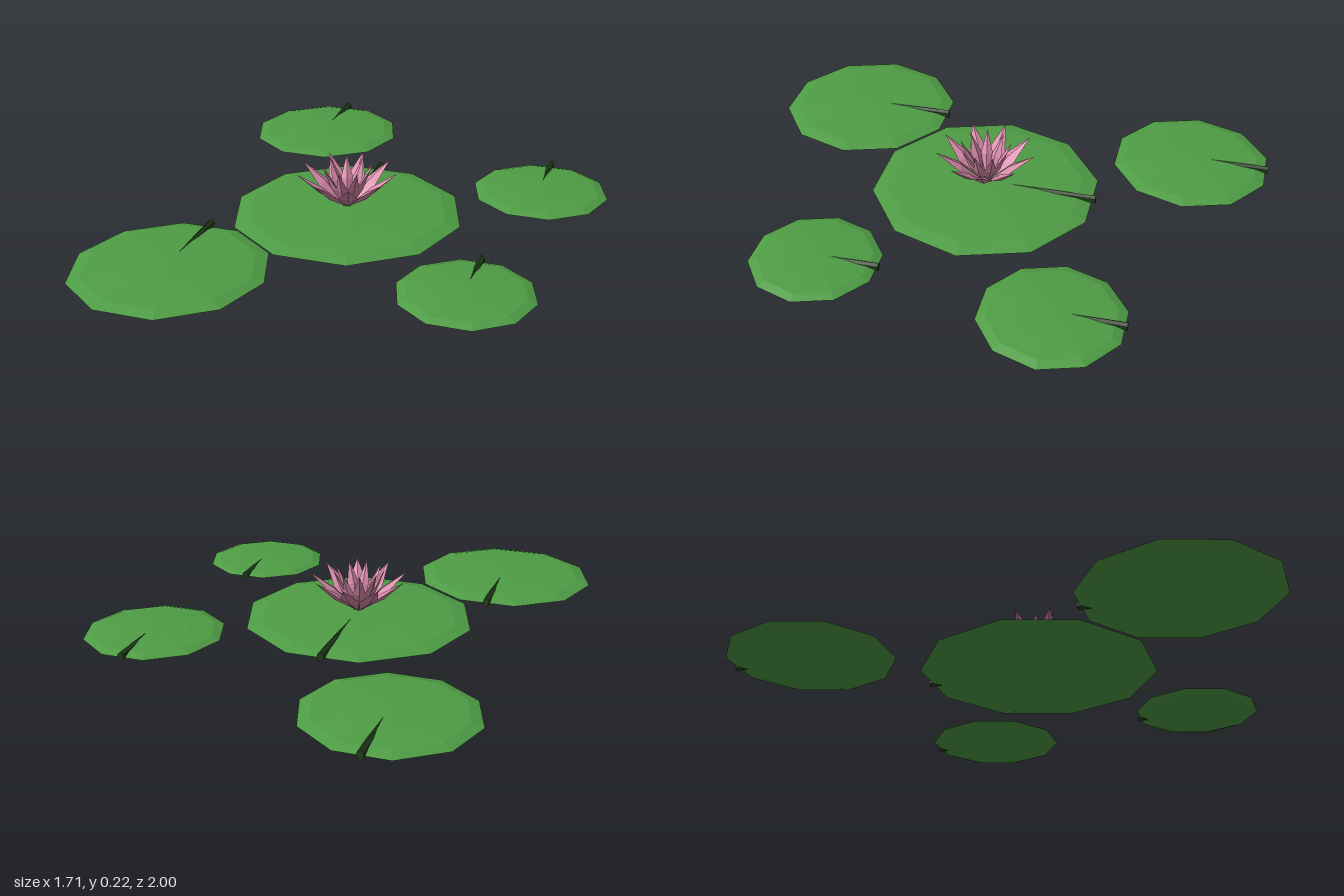
import * as THREE from 'three';

const flat = (name, color) => {
  const m = new THREE.MeshStandardMaterial({ color, flatShading: true });
  m.name = name;
  return m;
};

// Kite-shaped petal growing along +y, widest at its middle, with a ridge on both faces
function petalGeometry(length, halfWidth, halfDepth) {
  const g = new THREE.OctahedronGeometry(1, 0);
  g.scale(halfWidth, length / 2, halfDepth);
  g.translate(0, length / 2, 0);
  return g;
}

export function createModel() {
  const model = new THREE.Group();
  model.name = 'waterLilies';
  const leaf = flat('leafGreen', 0x4f9d45);
  const dark = flat('darkGreen', 0x223f1c);
  const pink = flat('petalPink', 0xd98aaa);

  const add = (parent, name, geometry, material) => {
    const mesh = new THREE.Mesh(geometry, material);
    mesh.name = name;
    parent.add(mesh);
    return mesh;
  };

  // Floating pads: x, z, radius, half thickness
  const pads = [
    [-0.07, 0.05, 0.436, 0.026],
    [-0.42, -0.70, 0.306, 0.023],
    [0.59, -0.348, 0.261, 0.023],
    [-0.506, 0.665, 0.35, 0.024],
    [0.503, 0.53, 0.24, 0.022],
  ];
  pads.forEach(([x, z, r, h]) => {
    const pad = new THREE.Group();
    pad.name = 'lilyPad';
    pad.position.set(x, 0, z);
    model.add(pad);

    const disc = add(pad, 'padLeaf', new THREE.SphereGeometry(1, 10, 6), leaf);
    disc.scale.set(r, h, r);
    disc.position.y = 0.052 - h;

    // Dark rib from near the middle to the back rim
    const start = -0.12 * r, end = -0.985 * r;
    const rib = new THREE.CylinderGeometry(0.013, 0.01, start - end, 6);
    rib.rotateX(-Math.PI / 2);
    rib.scale(1, 1.4, 1);
    add(pad, 'padRib', rib, dark).position.set(0, 0.036, (start + end) / 2);
  });

  // Flower: an open outer ring and a steeper inner ring of petals
  const flower = new THREE.Group();
  flower.name = 'flower';
  flower.position.set(-0.07, 0.052, 0.05);
  model.add(flower);

  const ring = (name, count, length, halfWidth, halfDepth, tilt, base, turn) => {
    const geometry = petalGeometry(length, halfWidth, halfDepth);
    geometry.rotateX(tilt);
    geometry.translate(0, 0, base);
    for (let i = 0; i < count; i++) {
      add(flower, name, geometry, pink).rotation.y = Math.PI + turn + (i / count) * Math.PI * 2;
    }
  };
  ring('outerPetal', 9, 0.229, 0.036, 0.012, 0.9, 0.01, 0);
  ring('innerPetal', 9, 0.188, 0.024, 0.01, 0.46, 0.016, Math.PI / 9);

  return model;
}
